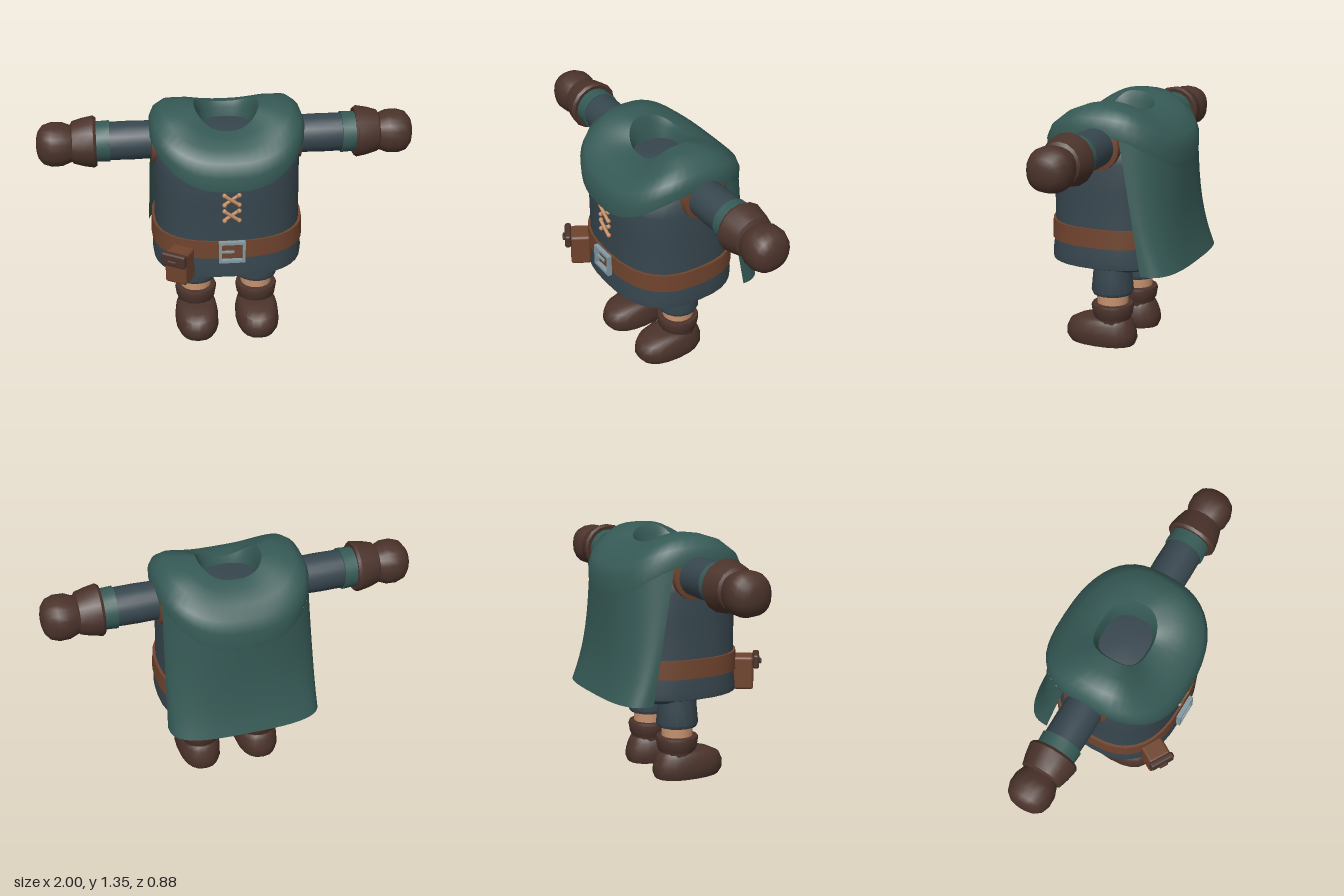
import * as THREE from 'three';
import { toCreasedNormals } from 'three/addons/utils/BufferGeometryUtils.js';
import { RoundedBoxGeometry } from 'three/addons/geometries/RoundedBoxGeometry.js';

const material = (name, color, side = THREE.FrontSide) => {
  const m = new THREE.MeshStandardMaterial({ color, side });
  m.name = name;
  return m;
};
const slate = material('slate cloth', 0x37464e, THREE.DoubleSide);
const green = material('green cloth', 0x365a56, THREE.DoubleSide);
const tan = material('tan leather', 0x6f432d);
const dark = material('dark leather', 0x4b332b);
const skin = material('skin', 0xc9936f);
const steel = material('steel', 0x8499a3);
const lace = material('lace', 0xc08a62);

const E = 0.77; // squareness of body outlines
const pw = (v, e = E) => Math.sign(v) * Math.abs(v) ** e;
const mix = THREE.MathUtils.lerp;

function add(parent, name, geo, mat, x = 0, y = 0, z = 0) {
  const mesh = new THREE.Mesh(geo, mat);
  mesh.name = name;
  mesh.position.set(x, y, z);
  parent.add(mesh);
  return mesh;
}

// Skin a grid of points: rows run upward, columns run from +x towards +z
function loft(rows, cols, point, crease = 0.75) {
  const pos = [], idx = [];
  for (let r = 0; r < rows; r++)
    for (let c = 0; c <= cols; c++) pos.push(...point(r, c / cols));
  for (let r = 0; r < rows - 1; r++)
    for (let c = 0; c < cols; c++) {
      const a = r * (cols + 1) + c, b = a + 1, d = a + cols + 1;
      idx.push(a, d, b, b, d, d + 1);
    }
  const g = new THREE.BufferGeometry();
  g.setAttribute('position', new THREE.Float32BufferAttribute(pos, 3));
  g.setIndex(idx);
  return toCreasedNormals(g, crease);
}

// Stack of rounded outlines, each [y, half width, back z, front z]
const stack = (rows, cols = 36, e = E) => loft(rows.length, cols, (r, u) => {
  const [y, w, zb, zf] = rows[r], a = u * Math.PI * 2;
  return [w * pw(Math.cos(a), e), y, (zb + zf) / 2 + (zf - zb) / 2 * pw(Math.sin(a), e)];
});
const even = (rows) => stack(rows.map(([y, rx, rz]) => [y, rx, -rz, rz]));
// Round part turned about y from [radius, y] points
const turned = (pts, sides = 16) =>
  toCreasedNormals(new THREE.LatheGeometry(pts.map(p => new THREE.Vector2(...p)), sides), 0.6);

// Mantle rows: [half width, front z, back z, front y, side y, back y]
const MANTLE = [
  [0.408, 0.37, -0.385, 1.01, 1.2, 1.0],
  [0.408, 0.375, -0.388, 1.09, 1.245, 1.1],
  [0.39, 0.348, -0.365, 1.16, 1.29, 1.165],
  [0.34, 0.28, -0.3, 1.205, 1.335, 1.22],
  [0.25, 0.2, -0.23, 1.235, 1.345, 1.265],
  [0.17, 0.125, -0.16, 1.24, 1.34, 1.28],
  [0.15, 0.11, -0.145, 1.2, 1.29, 1.25],
  [0.14, 0.1, -0.135, 1.15, 1.18, 1.16],
];
function mantlePoint(r, a) {
  const [w, zf, zb, yf, ys, yb] = MANTLE[r], s = Math.sin(a);
  return [w * pw(Math.cos(a)), mix(ys, s > 0 ? yf : yb, s * s), (s > 0 ? zf : zb) * Math.abs(s) ** E];
}

function makeBody(root) {
  add(root, 'tunic', even([
    [0.52, 0.36, 0.3], [0.48, 0.39, 0.33], [0.485, 0.402, 0.342], [0.52, 0.405, 0.342], [0.6, 0.396, 0.332],
    [0.7, 0.39, 0.328], [0.9, 0.386, 0.332], [1.05, 0.385, 0.338], [1.12, 0.375, 0.325],
    [1.17, 0.345, 0.28], [1.2, 0.24, 0.19], [1.2, 0, 0],
  ]), slate);
  add(root, 'trouserSeat', stack([
    [0.4, 0, -0.02, -0.02], [0.4, 0.14, -0.13, 0.1], [0.425, 0.23, -0.22, 0.19],
    [0.475, 0.31, -0.29, 0.26], [0.52, 0.365, -0.3, 0.3],
  ]), slate);
  add(root, 'belt', even([
    [0.6, 0.385, 0.32], [0.6, 0.41, 0.343], [0.7, 0.405, 0.339], [0.7, 0.38, 0.315],
  ]), tan);
  add(root, 'mantle', loft(MANTLE.length, 48, (r, u) => mantlePoint(r, u * Math.PI * 2)), green);
  // Cape hangs from the back edge of the mantle and flares at the hem
  const rows = 11, gap = 0.3;
  add(root, 'cape', loft(rows, 32, (r, u) => {
    const t = 1 - r / (rows - 1), phi = Math.PI * (1 + u);
    const top = mantlePoint(0, mix(Math.PI + gap, Math.PI * 2 - gap, u));
    const depth = Math.abs(Math.sin(phi)) ** 0.65;
    const k = mix(t, t ** 3, depth);
    return [
      mix(top[0], 0.415 * pw(Math.cos(phi), 0.65), t),
      mix(top[1], 0.48, t),
      mix(top[2], -0.28 - 0.165 * depth, k),
    ];
  }), green);
}

function makeBuckle(root) {
  const buckle = new THREE.Group();
  buckle.name = 'buckle';
  buckle.position.set(0, 0.648, 0.346);
  const frame = new THREE.Shape([[-0.07, -0.062], [0.07, -0.062], [0.07, 0.062], [-0.07, 0.062]].map(p => new THREE.Vector2(...p)));
  frame.holes.push(new THREE.Path([[-0.055, -0.047], [-0.055, 0.047], [0.055, 0.047], [0.055, -0.047]].map(p => new THREE.Vector2(...p))));
  add(buckle, 'buckleFrame', new THREE.ExtrudeGeometry(frame, { depth: 0.024, bevelEnabled: false }), steel);
  add(buckle, 'bucklePin', new THREE.BoxGeometry(0.075, 0.01, 0.012), steel, -0.025, 0, 0.012);
  root.add(buckle);
}

function makePouch(root) {
  const pouch = new THREE.Group();
  pouch.name = 'pouch';
  pouch.position.set(-0.275, 0, 0.335);
  pouch.rotation.y = -0.53;
  add(pouch, 'pouchBody', new RoundedBoxGeometry(0.125, 0.18, 0.11, 2, 0.015), tan, 0, 0.572, 0);
  add(pouch, 'pouchFlap', new RoundedBoxGeometry(0.14, 0.075, 0.035, 2, 0.012), dark, 0, 0.637, 0.068);
  add(pouch, 'pouchToggle', new RoundedBoxGeometry(0.05, 0.022, 0.015, 1, 0.005), dark, 0, 0.63, 0.09);
  root.add(pouch);
}

function makeLacing(root) {
  for (const y of [0.855, 0.947])
    for (const s of [-1, 1]) {
      const cord = add(root, 'lacing', new THREE.CapsuleGeometry(0.01, 0.08, 3, 8), lace, 0, y, 0.338 + s * 0.004);
      cord.rotation.z = s * 0.95;
      // Knots at the upper and lower ends of each crossing
      for (const d of [-1, 1])
        add(root, 'laceKnot', new THREE.SphereGeometry(0.013, 8, 6), lace, s * 0.038, y + d * 0.028, 0.34);
    }
}

// Arm parts are turned along local y, then laid out sideways
function makeArm(root, side) {
  const arm = new THREE.Group();
  arm.name = side > 0 ? 'leftArm' : 'rightArm';
  arm.position.set(0, 1.138, -0.022);
  arm.rotation.z = -side * Math.PI / 2;
  add(arm, 'armholeTrim', turned([[0.1, 0.35], [0.128, 0.35], [0.125, 0.395], [0.1, 0.4]], 20), tan);
  add(arm, 'sleeve', turned([[0.1, 0.33], [0.104, 0.5], [0.102, 0.63]], 20), slate);
  add(arm, 'sleeveCuff', turned([[0.09, 0.615], [0.111, 0.615], [0.108, 0.67], [0.108, 0.7]], 20), green);
  add(arm, 'gloveCuff', turned([
    [0.09, 0.69], [0.128, 0.685], [0.138, 0.7], [0.128, 0.755], [0.112, 0.81], [0.085, 0.825],
  ]), dark);
  const hand = add(arm, 'mitten', stack([
    [0.8, 0.09, -0.09, 0.09], [0.83, 0.098, -0.1, 0.1], [0.865, 0.112, -0.114, 0.114], [0.92, 0.114, -0.116, 0.116],
    [0.965, 0.1, -0.1, 0.1], [0.99, 0.07, -0.07, 0.07], [1, 0.035, -0.035, 0.035], [1, 0, 0, 0],
  ], 20, 0.85), dark);
  hand.position.x = side * 0.006;
  root.add(arm);
}

function makeLeg(root, side) {
  const leg = new THREE.Group();
  leg.name = side > 0 ? 'leftLeg' : 'rightLeg';
  leg.position.set(side * 0.17, 0, -0.015);
  add(leg, 'trouserLeg', turned([
    [0.085, 0.3], [0.108, 0.288], [0.115, 0.305], [0.106, 0.4], [0.1, 0.5],
  ]), slate);
  add(leg, 'shin', new THREE.CylinderGeometry(0.088, 0.084, 0.12, 20), skin, 0, 0.26, 0);
  add(leg, 'bootShaft', turned([
    [0.1, 0.1], [0.1, 0.15], [0.108, 0.165], [0.116, 0.215], [0.112, 0.23], [0.085, 0.233],
  ]), dark);
  add(leg, 'bootFoot', stack([
    [0, 0, 0.04, 0.04], [0, 0.108, -0.125, 0.245], [0.03, 0.12, -0.136, 0.265], [0.07, 0.12, -0.133, 0.265],
    [0.115, 0.113, -0.118, 0.245], [0.14, 0.1, -0.105, 0.195], [0.153, 0.08, -0.09, 0.13], [0.155, 0, 0.02, 0.02],
  ], 20, 0.85), dark);
  root.add(leg);
}

export function createModel() {
  const root = new THREE.Group();
  root.name = 'adventurerOutfit';
  makeBody(root);
  makeBuckle(root);
  makePouch(root);
  makeLacing(root);
  for (const side of [1, -1]) {
    makeArm(root, side);
    makeLeg(root, side);
  }
  return root;
}
